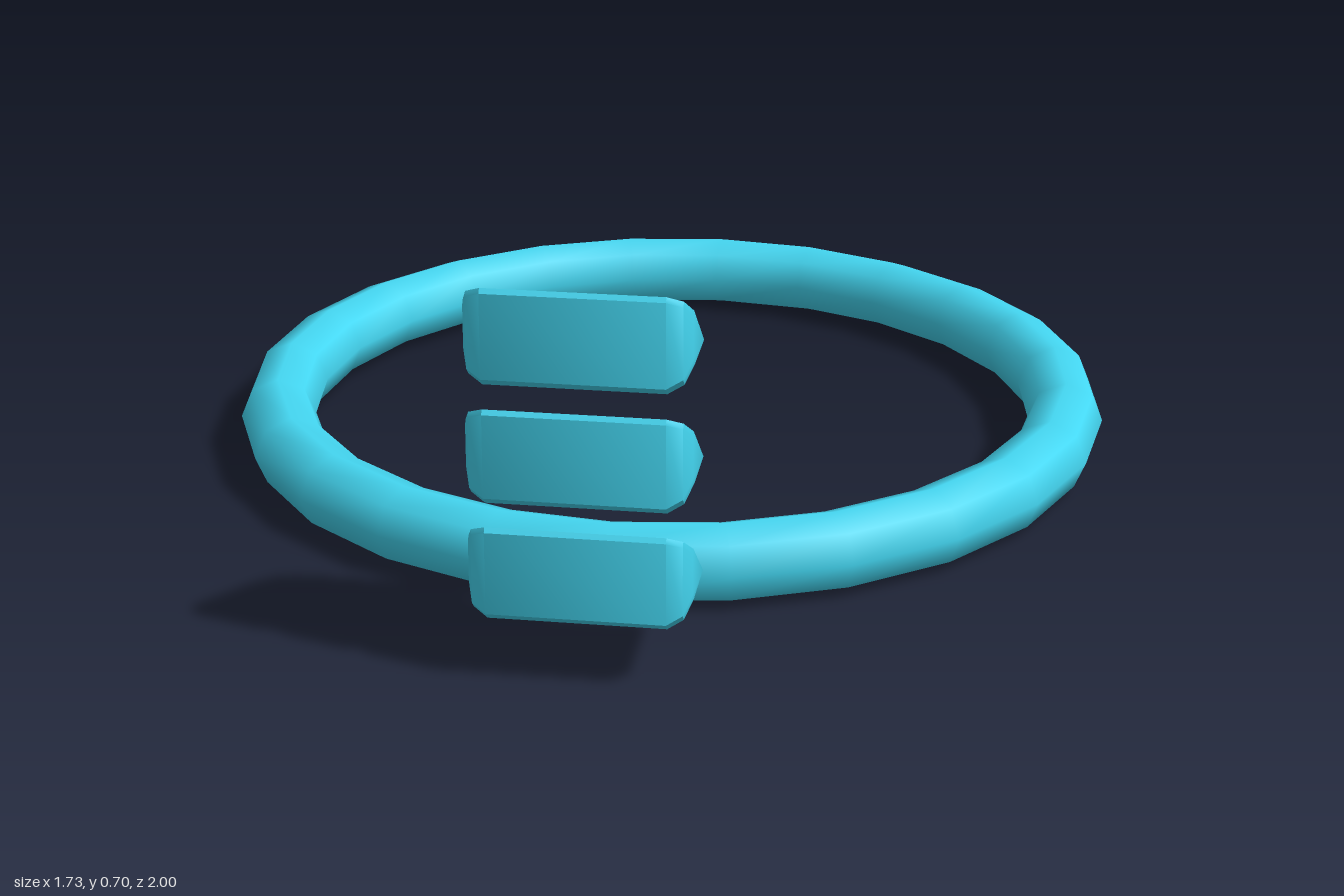
import * as THREE from 'three';
import { toCreasedNormals } from 'three/addons/utils/BufferGeometryUtils.js';

const material = new THREE.MeshStandardMaterial({ color: 0x44d7f2 });

// Wedge: triangular sections lofted along x, shrinking at both ends.
// Coordinates are relative to the wedge's bottom; the slanted face faces back and up.
function wedgeGeometry() {
  const tipZ = 0.775, height = 0.17, slope = height / (0.994 - tipZ);
  const half = [[0.19, 0.035, 0.95], [0.178, 0.012, 0.985], [0.152, 0, 1]]; // x, bottom y, front z
  const stations = [...half.map(([x, b, f]) => [-x, b, f]), ...[...half].reverse()];
  const sections = stations.map(([x, b, f]) => [
    [x, b, tipZ + b / slope],
    [x, (f - 0.006 - tipZ) * slope, f - 0.006],
    [x, (f - 0.006 - tipZ) * slope - 0.008, f],
    [x, b + 0.014, f],
    [x, b, f - 0.016],
  ]);
  const n = sections[0].length, pos = [], idx = [];
  sections.forEach((s) => s.forEach((p) => pos.push(...p)));
  for (let i = 0; i < sections.length - 1; i++) {
    for (let j = 0; j < n; j++) {
      const a = i * n + j, b = i * n + (j + 1) % n;
      idx.push(a, b, b + n, a, b + n, a + n);
    }
  }
  // End caps
  const last = (sections.length - 1) * n;
  for (let j = 1; j < n - 1; j++) {
    idx.push(last, last + j, last + j + 1, 0, j + 1, j);
  }
  const g = new THREE.BufferGeometry();
  g.setAttribute('position', new THREE.Float32BufferAttribute(pos, 3));
  g.setIndex(idx);
  return toCreasedNormals(g, 0.6);
}

export function createModel() {
  const model = new THREE.Group();
  model.name = 'ringWithWedges';

  // Ring lying flat on the ground
  const tube = 0.074;
  const ring = new THREE.Mesh(new THREE.TorusGeometry(0.865 - tube, tube, 8, 24), material);
  ring.name = 'ring';
  ring.rotation.x = Math.PI / 2;
  ring.position.set(0, tube, -0.135);
  model.add(ring);

  // Stack of three floating wedges in front of the ring
  const wedges = new THREE.Group();
  wedges.name = 'wedgeStack';
  const geometry = wedgeGeometry();
  for (let i = 0; i < 3; i++) {
    const wedge = new THREE.Mesh(geometry, material);
    wedge.name = `wedge${i + 1}`;
    wedge.position.y = 0.11 + i * 0.21;
    wedges.add(wedge);
  }
  model.add(wedges);
  return model;
}
